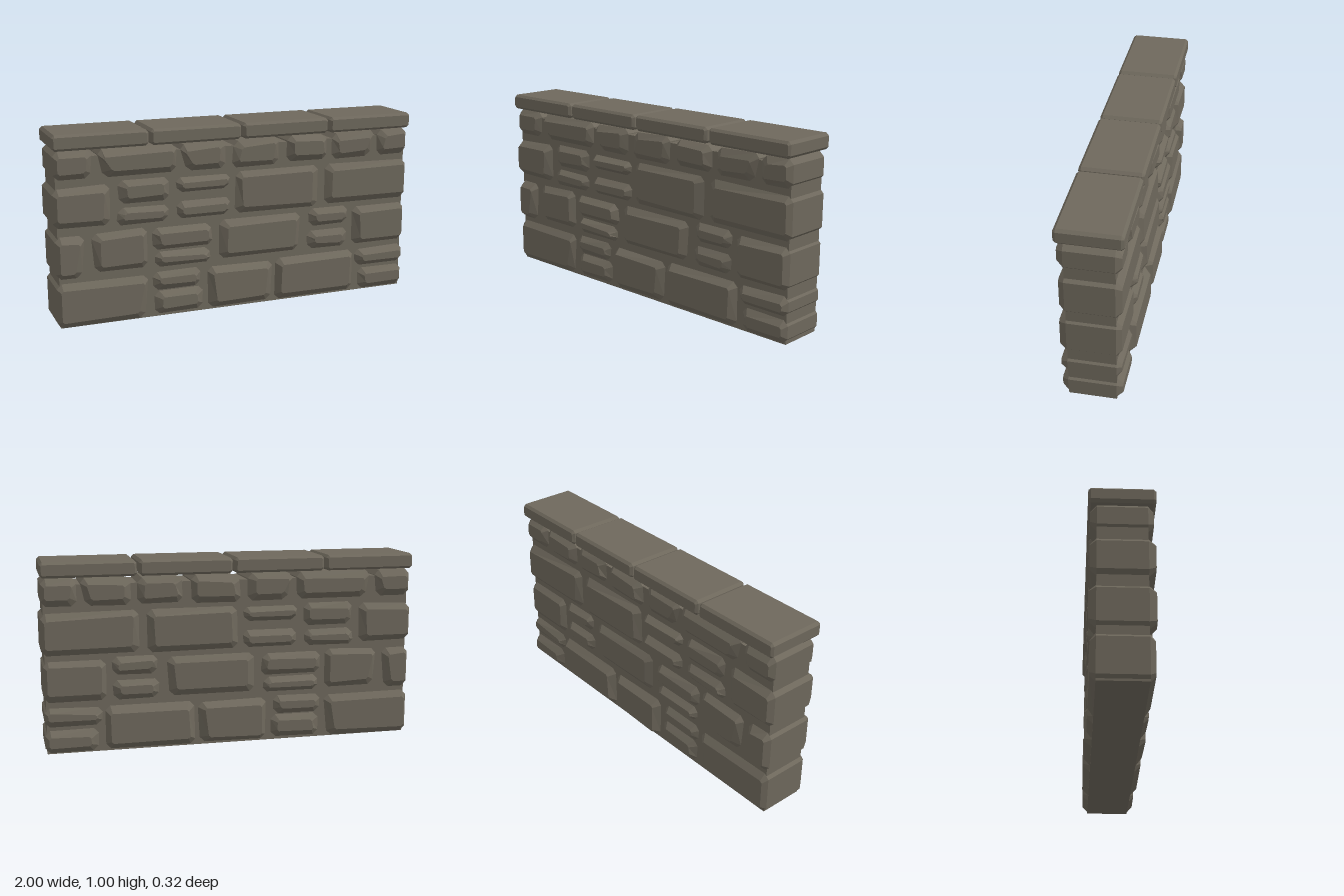
import * as THREE from 'three';

// Small seeded generator for hand-cut irregularity
let seed = 7;
function rand() {
  seed = (seed * 16807) % 2147483647;
  return seed / 2147483647;
}

// Rectangle with cut corners, from four corner points in counter-clockwise order
function cutOutline(corners, cut) {
  const out = [];
  corners.forEach((p, k) => {
    for (const q of [corners[(k + 3) % 4], corners[(k + 1) % 4]]) {
      const len = Math.hypot(q[0] - p[0], q[1] - p[1]);
      const t = Math.min(cut / len, 0.3);
      out.push([p[0] + (q[0] - p[0]) * t, p[1] + (q[1] - p[1]) * t]);
    }
  });
  return out;
}

// Flat-faced solid lofted through rings of equal point count, back to front
function loft(rings) {
  const pos = [];
  const n = rings[0].length;
  const tri = (a, b, c) => pos.push(...a, ...b, ...c);
  for (let r = 0; r < rings.length - 1; r++) {
    for (let i = 0; i < n; i++) {
      const j = (i + 1) % n;
      tri(rings[r][i], rings[r][j], rings[r + 1][j]);
      tri(rings[r][i], rings[r + 1][j], rings[r + 1][i]);
    }
  }
  const back = rings[0], front = rings[rings.length - 1];
  for (let i = 1; i < n - 1; i++) {
    tri(back[0], back[i + 1], back[i]);
    tri(front[0], front[i], front[i + 1]);
  }
  const g = new THREE.BufferGeometry();
  g.setAttribute('position', new THREE.Float32BufferAttribute(pos, 3));
  g.computeVertexNormals();
  return g;
}

// Bevelled block running through the wall; wobble skews its corners inward
function block([x0, x1, y0, y1, taperL = 0, taperR = 0], o) {
  const h = y1 - y0, w = x1 - x0, cx = (x0 + x1) / 2;
  const jx = (x) => (Math.abs(x) > 0.97 ? 0 : rand() * o.wobble);
  const jy = () => rand() * o.wobble * Math.min(1, h * 5);
  const outer = [
    [x0 + taperL + jx(x0), y0 + jy() * 0.5], [x1 - taperR - jx(x1), y0 + jy() * 0.5],
    [x1 - jx(x1), y1 - jy()], [x0 + jx(x0), y1 - jy()],
  ];
  const inset = Math.min(o.inset, h * 0.28);
  const sx = [1, -1, -1, 1], sy = [1, 1, -1, -1];
  const face = () => cutOutline(outer.map(([x, y], k) => [
    x + sx[k] * inset * (Math.abs(x) > 0.97 ? 0.6 : 0.75 + rand() * o.vary),
    y + sy[k] * inset * (0.85 + rand() * o.vary * 0.6),
  ]), o.cut * 0.4);
  const rim = cutOutline(outer, o.cut);
  const at = (pts, z, tilt = 0) => pts.map(([x, y]) => [x, y, z + (tilt * (x - cx)) / w]);
  const depth = () => o.depth - rand() * o.wobble * 0.6;
  const tilt = () => (rand() - 0.5) * o.wobble * 0.5;
  return loft([
    at(face(), -depth(), tilt()), at(rim, -o.shoulder), at(rim, o.shoulder), at(face(), depth(), tilt()),
  ]);
}

export function createModel() {
  const wall = new THREE.Group();
  wall.name = 'stoneWall';
  const stone = new THREE.MeshStandardMaterial({ color: 0x6e685c });
  stone.name = 'greyBrownStone';

  // Mortar core between the stones
  const core = new THREE.Mesh(new THREE.BoxGeometry(1.96, 0.88, 0.24), stone);
  core.name = 'mortarCore';
  core.position.y = 0.44;
  wall.add(core);

  // Courses from the ground up: x0, x1, y0, y1, bottom taper left and right
  const courses = {
    bottomCourse: [
      [-0.995, -0.51, 0, 0.245, 0, 0.01], [-0.51, -0.215, 0.14, 0.25, 0.02, 0],
      [-0.49, -0.205, 0.01, 0.14], [-0.19, 0.19, 0.005, 0.245], [0.19, 0.69, 0.005, 0.245],
      [0.685, 0.99, 0.14, 0.245], [0.7, 0.99, 0.003, 0.13],
    ],
    secondCourse: [
      [-0.995, -0.84, 0.255, 0.49, 0, 0.02], [-0.825, -0.5, 0.27, 0.49, 0.015, 0],
      [-0.495, -0.155, 0.36, 0.49], [-0.49, -0.16, 0.265, 0.355], [-0.135, 0.355, 0.27, 0.49],
      [0.39, 0.64, 0.4, 0.5], [0.385, 0.64, 0.27, 0.38], [0.655, 0.99, 0.265, 0.49],
    ],
    thirdCourse: [
      [-1, -0.705, 0.52, 0.735], [-0.67, -0.385, 0.62, 0.745], [-0.68, -0.39, 0.51, 0.605],
      [-0.365, -0.055, 0.655, 0.735], [-0.365, -0.05, 0.515, 0.615],
      [-0.035, 0.455, 0.51, 0.745], [0.48, 0.995, 0.515, 0.745],
    ],
    topCourse: [
      [-0.99, -0.78, 0.765, 0.915, 0, 0.02], [-0.77, -0.345, 0.765, 0.915, 0.03, 0],
      [-0.35, -0.07, 0.765, 0.915, 0.04, 0.01], [-0.055, 0.23, 0.76, 0.915],
      [0.26, 0.51, 0.77, 0.915], [0.52, 0.8, 0.765, 0.915, 0.01, 0.03], [0.8, 0.99, 0.765, 0.915],
    ],
  };
  const rough = { inset: 0.032, cut: 0.026, depth: 0.157, shoulder: 0.12, wobble: 0.018, vary: 0.6 };
  for (const [name, stones] of Object.entries(courses)) {
    const course = new THREE.Group();
    course.name = name;
    for (const s of stones) {
      const mesh = new THREE.Mesh(block(s, rough), stone);
      mesh.name = 'stone';
      course.add(mesh);
    }
    wall.add(course);
  }

  // Four flat coping slabs
  const coping = new THREE.Group();
  coping.name = 'coping';
  const smooth = { inset: 0.014, cut: 0.014, depth: 0.162, shoulder: 0.148, wobble: 0.002, vary: 0.2 };
  for (const [x0, x1] of [[-0.995, -0.505], [-0.495, -0.008], [0.002, 0.492], [0.502, 0.992]]) {
    const slab = new THREE.Mesh(block([x0, x1, 0.918, 1], smooth), stone);
    slab.name = 'copingSlab';
    coping.add(slab);
  }
  wall.add(coping);
  return wall;
}
